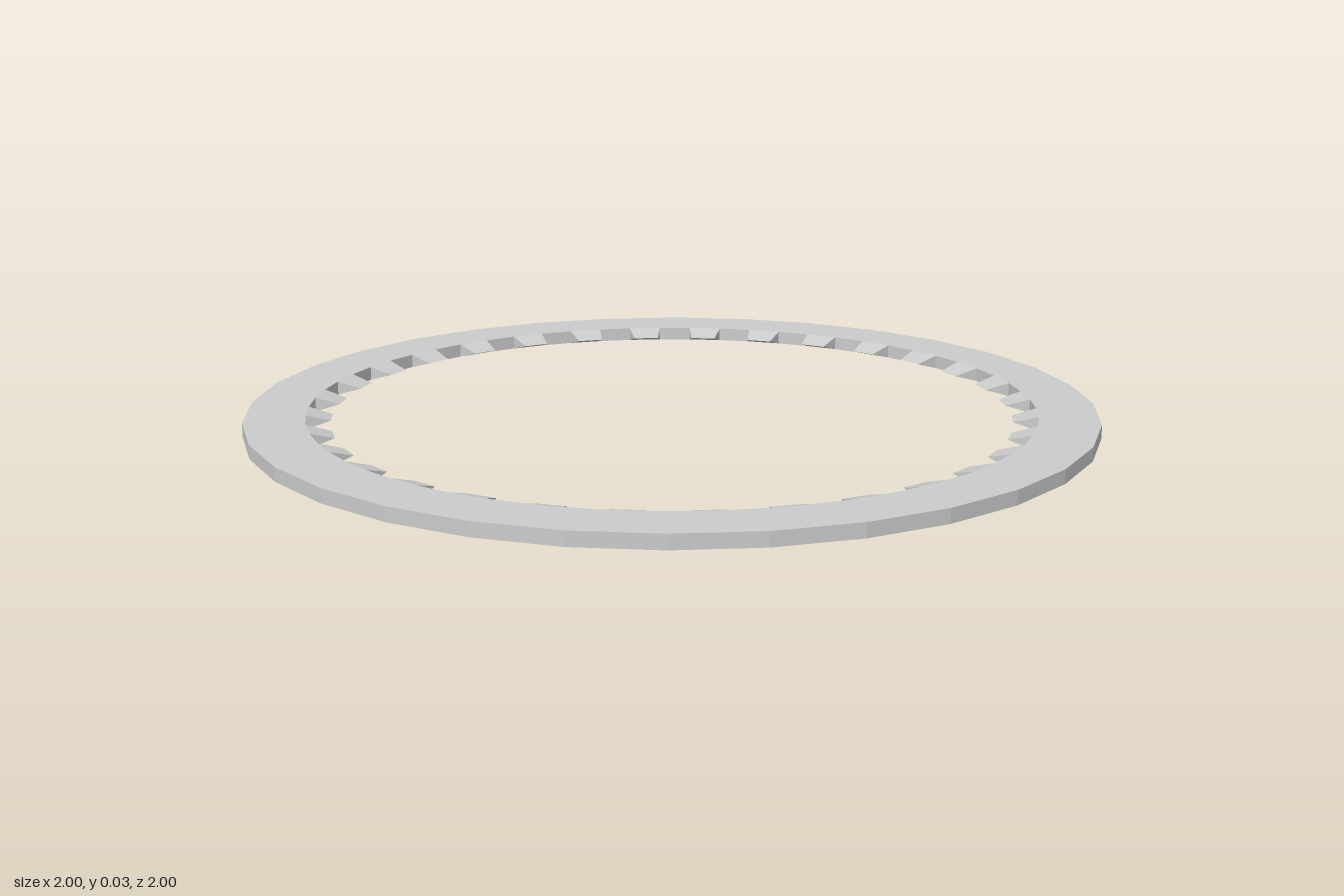
import * as THREE from 'three';

const COUNT = 32;                 // outer facets and teeth
const STEP = (Math.PI * 2) / COUNT;
const START = THREE.MathUtils.degToRad(3.05);
const OUTER = 1, INNER = 0.858, TIP = 0.8, HEIGHT = 0.033;

const material = new THREE.MeshStandardMaterial({ color: 0xcccccc, flatShading: true });

// Points of a regular polygon, angle measured clockwise from the back
function polygon(radius, sides, offset) {
  return Array.from({ length: sides }, (_, i) => {
    const a = START + (i + offset) * (Math.PI * 2) / sides;
    return new THREE.Vector2(radius * Math.sin(a), radius * Math.cos(a));
  });
}

// Flat faceted band; the hole runs opposite to the outline so its wall faces inward
function createRing() {
  const shape = new THREE.Shape(polygon(OUTER, COUNT, 0));
  shape.holes.push(new THREE.Path(polygon(INNER, COUNT * 2, 0.5).reverse()));
  const geometry = new THREE.ExtrudeGeometry(shape, { depth: HEIGHT, bevelEnabled: false });
  geometry.rotateX(-Math.PI / 2);
  const ring = new THREE.Mesh(geometry, material);
  ring.name = 'ring';
  return ring;
}

// Wedge pointing to the centre, tapering to a level edge at half height
function createToothGeometry() {
  const w = INNER * Math.sin(STEP / 4), z = -INNER * Math.cos(STEP / 4);
  const t = 0.032, h = HEIGHT;
  const geometry = new THREE.BufferGeometry();
  geometry.setAttribute('position', new THREE.Float32BufferAttribute([
    -w, 0, z, w, 0, z, w, h, z, -w, h, z,
    -t, h / 2, -TIP, t, h / 2, -TIP,
  ], 3));
  geometry.setIndex([
    3, 4, 5, 3, 5, 2,   // upper slope
    0, 1, 5, 0, 5, 4,   // lower slope
    0, 4, 3, 1, 2, 5,   // sides
  ]);
  const flat = geometry.toNonIndexed();
  flat.computeVertexNormals();
  return flat;
}

export function createModel() {
  const model = new THREE.Group();
  model.name = 'internalToothRing';
  model.add(createRing());

  // Teeth around the inner wall, each centred on an outer facet
  const teeth = new THREE.Group();
  teeth.name = 'teeth';
  const geometry = createToothGeometry();
  for (let i = 0; i < COUNT; i++) {
    const tooth = new THREE.Mesh(geometry, material);
    tooth.name = 'tooth';
    tooth.rotation.y = -(START + (i + 0.5) * STEP);
    teeth.add(tooth);
  }
  model.add(teeth);
  return model;
}
